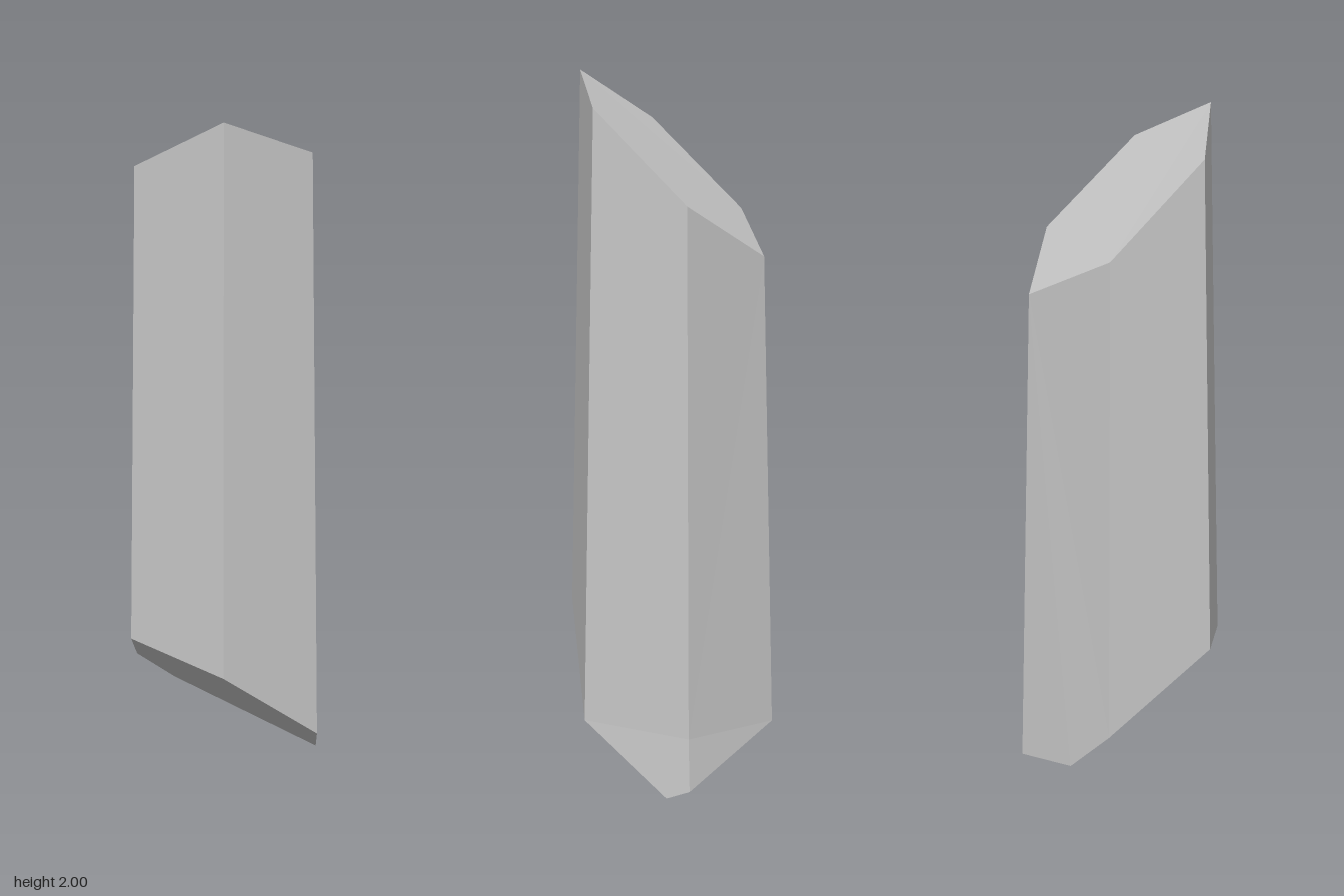
import * as THREE from 'three';

const crystalGrey = new THREE.MeshStandardMaterial({ color: 0xc6c6c6 });
crystalGrey.name = 'crystal grey';

// Top rim of the crystal, cut on a slant
const frontRightTop = [0.13, 2.0, 0.235], frontLeftTop = [-0.135, 1.865, 0.24];
const leftTop = [-0.275, 1.61, 0.008], backLeftTop = [-0.14, 1.5, -0.232];
const backRightTop = [0.135, 1.65, -0.228], rightTop = [0.262, 1.9, 0.008];

// Bottom rim, cut by a large slanted plane and a small one at the back
const frontRightLow = [0.152, 0.46, 0.275], frontLeftLow = [-0.156, 0.505, 0.275];
const leftLow = [-0.315, 0.29, 0.008], rightLow = [0.313, 0.195, 0.008];
const cutLeft = [-0.255, 0.17, -0.11], cutRight = [0.197, 0, -0.216];
const backLeftLow = [-0.16, 0.155, -0.267], backRightLow = [0.162, 0.03, -0.275];
const backRightBend = [0.155, 0.18, -0.262];

// Fans each convex facet into flat triangles that face away from the core
function facetGeometry(facets) {
  const core = new THREE.Vector3(0, 0.9, 0);
  const positions = [];
  for (const facet of facets) {
    const p = facet.map((v) => new THREE.Vector3(...v));
    for (let i = 1; i < p.length - 1; i++) {
      const tri = [p[0], p[i], p[i + 1]];
      const normal = new THREE.Triangle(...tri).getNormal(new THREE.Vector3());
      if (normal.dot(p[0].clone().sub(core)) < 0) tri.reverse();
      tri.forEach((v) => positions.push(v.x, v.y, v.z));
    }
  }
  const geometry = new THREE.BufferGeometry();
  geometry.setAttribute('position', new THREE.Float32BufferAttribute(positions, 3));
  geometry.computeVertexNormals();
  return geometry;
}

const parts = {
  topFacet: [[frontRightTop, frontLeftTop, leftTop, backLeftTop, backRightTop, rightTop]],
  sideFacets: [
    [frontLeftLow, frontRightLow, frontRightTop, frontLeftTop],
    [frontRightLow, rightLow, rightTop, frontRightTop],
    [backRightBend, backRightTop, rightTop, rightLow, cutRight, backRightLow],
    [backRightBend, backRightTop, backLeftTop, backLeftLow, backRightLow],
    [backLeftTop, leftTop, leftLow, cutLeft, backLeftLow],
    [leftLow, frontLeftLow, frontLeftTop, leftTop],
  ],
  bottomFacets: [
    [frontLeftLow, frontRightLow, rightLow, cutRight, cutLeft, leftLow],
    [cutLeft, cutRight, backRightLow, backLeftLow],
  ],
};

export function createModel() {
  const crystal = new THREE.Group();
  crystal.name = 'crystal';
  for (const [name, facets] of Object.entries(parts)) {
    const mesh = new THREE.Mesh(facetGeometry(facets), crystalGrey);
    mesh.name = name;
    crystal.add(mesh);
  }
  return crystal;
}
